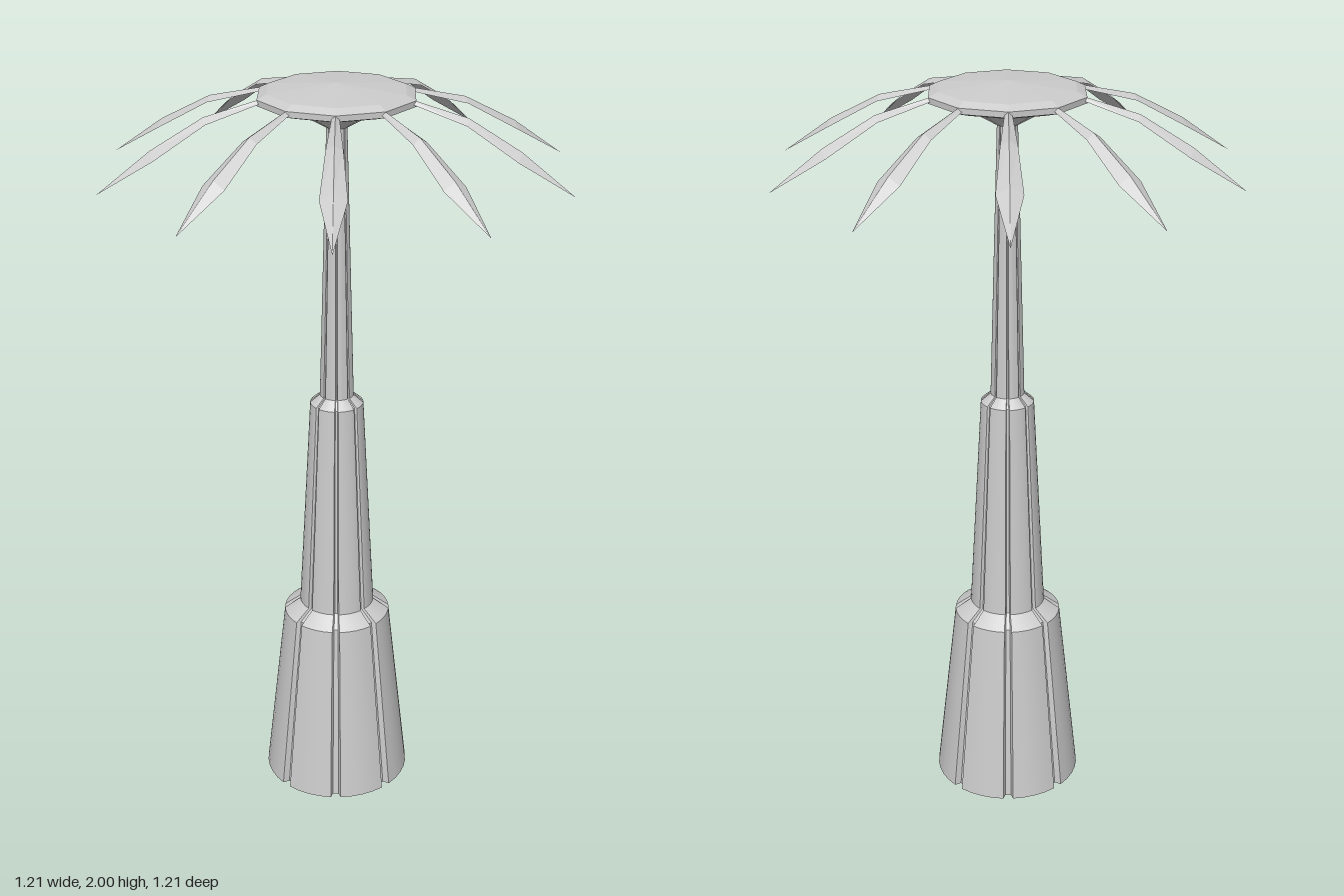
import * as THREE from 'three';
import { toCreasedNormals } from 'three/addons/utils/BufferGeometryUtils.js';

const smooth = new THREE.MeshStandardMaterial({ color: 0xcccccc, side: THREE.DoubleSide });
const flat = new THREE.MeshStandardMaterial({ color: 0xcccccc, side: THREE.DoubleSide, flatShading: true });
const deg = Math.PI / 180;

// Joins equal-length rows of points into a surface.
function loft(rows, closed) {
  const n = rows[0].length;
  const index = [];
  for (let i = 0; i < rows.length - 1; i++) {
    for (let j = 0; j < (closed ? n : n - 1); j++) {
      const a = i * n + j, b = i * n + (j + 1) % n;
      index.push(a, b, a + n, b, b + n, a + n);
    }
  }
  const geometry = new THREE.BufferGeometry();
  geometry.setAttribute('position', new THREE.Float32BufferAttribute(rows.flat(2), 3));
  geometry.setIndex(index);
  geometry.computeVertexNormals();
  return geometry;
}

// One tier of the trunk: a round section with eight narrow upright grooves.
function trunkTier(profile) {
  const steps = [[-4, 1], [-2.5, 0.91], [2.5, 0.91], [4, 1], [13, 1], [22.5, 1], [32, 1]];
  const rows = profile.map(([r, y]) => {
    const ring = [];
    for (let k = 0; k < 8; k++) {
      for (const [offset, scale] of steps) {
        const a = (k * 45 + offset) * deg;
        ring.push([Math.sin(a) * r * scale, y, Math.cos(a) * r * scale]);
      }
    }
    return ring;
  });
  return toCreasedNormals(loft(rows, true), 25 * deg);
}

// A leaf folded along its midrib, bending down towards a sharp tip.
function leafGeometry() {
  const sections = [
    // distance, height, half width, fold depth
    [0.18, 1.977, 0.008, 0.008],
    [0.34, 1.94, 0.021, 0.014],
    [0.475, 1.868, 0.033, 0.018],
    [0.61, 1.77, 0.0005, 0],
  ];
  return loft(sections.map(([r, y, w, d]) => [[r, y - d, w], [r, y, 0], [r, y - d, -w]]), false);
}

export function createModel() {
  const model = new THREE.Group();
  const add = (name, geometry, material) => {
    const mesh = new THREE.Mesh(geometry, material);
    mesh.name = name;
    model.add(mesh);
    return mesh;
  };

  // Three telescoping tiers with bevelled shoulders, open at the foot
  add('lowerTrunk', trunkTier([[0.2, 0], [0.145, 0.51], [0.1, 0.542]]), smooth);
  add('middleTrunk', trunkTier([[0.102, 0.54], [0.071, 1.14], [0.044, 1.163]]), smooth);
  add('upperTrunk', trunkTier([[0.045, 1.16], [0.026, 1.91]]), smooth);

  // Ten-sided cap with a cone under it
  const capProfile = [
    [0.03, 1.89], [0.125, 1.945], [0.165, 1.945], [0.205, 1.957],
    [0.205, 1.972], [0.18, 1.984], [0, 2],
  ].map(([x, y]) => new THREE.Vector2(x, y));
  add('cap', new THREE.LatheGeometry(capProfile, 10, 99 * deg), flat);

  // Ten leaves around the cap
  const leaf = leafGeometry();
  for (let i = 0; i < 10; i++) {
    add('leaf', leaf, flat).rotation.y = (9 + i * 36) * deg;
  }
  return model;
}
